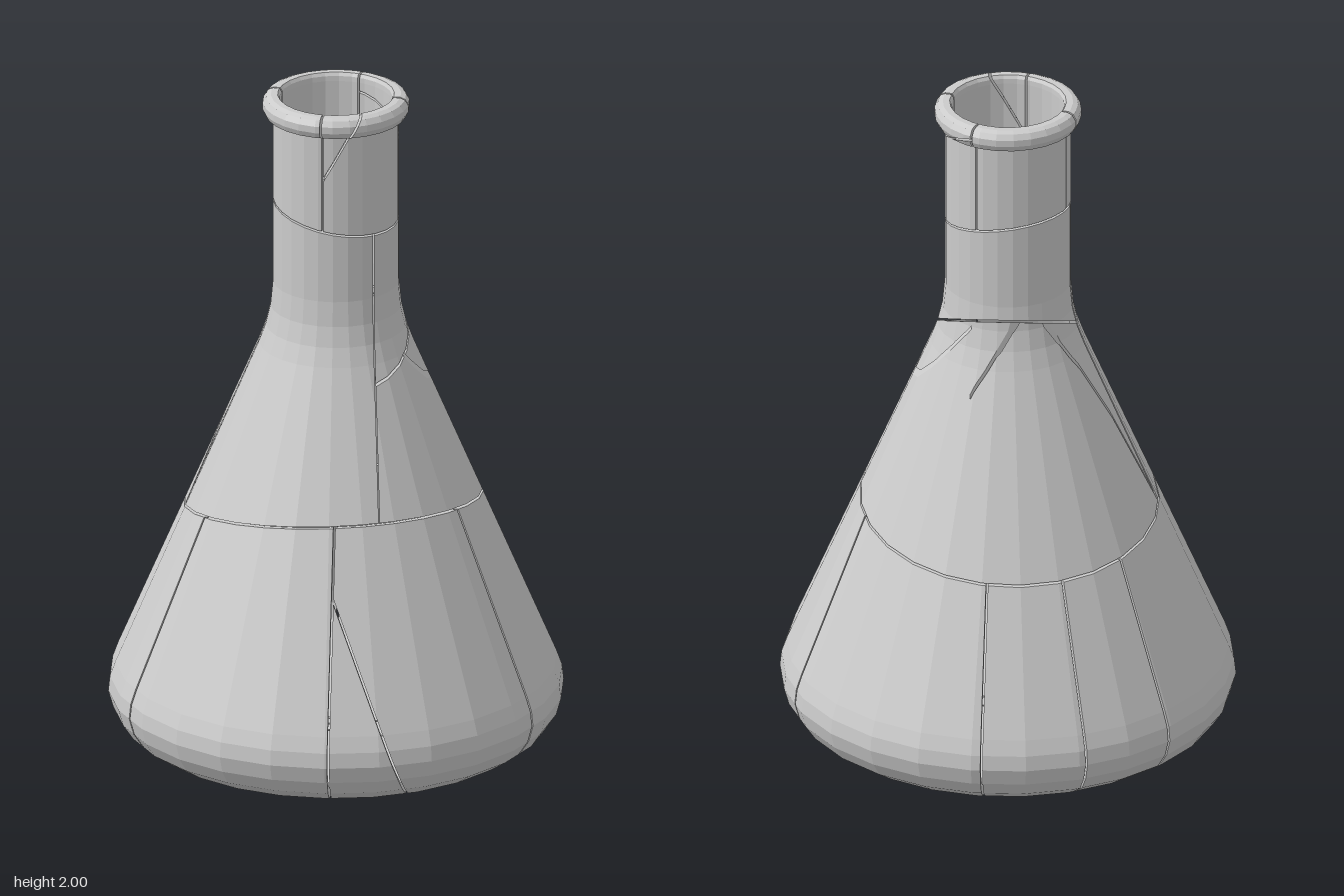
import * as THREE from 'three';

const SIDES = 26, GAP = 0.003;

// Wall profile from the base centre to the lip: [outer r, outer y, inner r, inner y]
const WALL = [
  [0, 0, 0, 0.025], [0.5, 0, 0.49, 0.025], [0.565, 0.018, 0.55, 0.043], [0.62, 0.055, 0.6, 0.075],
  [0.65, 0.1, 0.628, 0.11], [0.664, 0.15, 0.642, 0.15], [0.659, 0.195, 0.637, 0.19],
  [0.643, 0.24, 0.621, 0.233], [0.225, 1.23, 0.203, 1.223], [0.205, 1.285, 0.183, 1.282],
  [0.191, 1.345, 0.17, 1.345], [0.184, 1.42, 0.163, 1.42], [0.184, 1.932, 0.163, 1.932],
  [0.205, 1.94, 0.163, 1.94], [0.214, 1.958, 0.163, 1.955], [0.214, 1.978, 0.163, 1.975],
  [0.204, 1.994, 0.164, 1.99], [0.19, 2, 0.17, 2],
];

// A half-space keeps points with n.p <= d; a zero gap marks an unbroken join
const half = (x, y, z, d, gap = GAP) => {
  const n = new THREE.Vector3(x, y, z), l = n.length();
  return { n: n.divideScalar(l), d: d / l, gap };
};
const flip = (h) => ({ n: h.n.clone().negate(), d: -h.d, gap: h.gap });

// Convex blocks that make up the glass wall; only some faces are visible
function wallBlocks() {
  const blocks = [];
  const at = (r, y, j) => {
    const a = Math.PI / 2 + (j * 2 * Math.PI) / SIDES;
    return new THREE.Vector3(r * Math.sin(a), y, r * Math.cos(a));
  };
  for (let i = 0; i < WALL.length - 1; i++) {
    for (let j = 0; j < SIDES; j++) {
      const o = (a, b) => at(WALL[i + a][0], WALL[i + a][1], j + b);
      const n = (a, b) => at(WALL[i + a][2], WALL[i + a][3], j + b);
      const face = (visible, ...pts) => ({ visible, pts });
      blocks.push([
        face(true, o(0, 0), o(0, 1), o(1, 1), o(1, 0)),
        face(true, n(0, 0), n(1, 0), n(1, 1), n(0, 1)),
        face(i === WALL.length - 2, o(1, 0), o(1, 1), n(1, 1), n(1, 0)),
        face(false, o(0, 0), n(0, 0), n(0, 1), o(0, 1)),
        face(false, o(0, 0), o(1, 0), n(1, 0), n(0, 0)),
        face(false, o(0, 1), n(0, 1), n(1, 1), o(1, 1)),
      ]);
    }
  }
  return blocks;
}

// Cut a convex block by a half-space and close the cut
function clip(block, { n, d, gap }) {
  const side = (p) => n.dot(p) - d + gap;
  const all = block.flatMap((f) => f.pts.map(side));
  if (all.every((s) => s < 1e-7)) return block;
  if (all.every((s) => s > -1e-7)) return [];
  const rim = [], out = [];
  const mark = (p) => { if (!rim.some((q) => q.distanceTo(p) < 1e-6)) rim.push(p); };
  for (const f of block) {
    const pts = [];
    f.pts.forEach((p, k) => {
      const q = f.pts[(k + 1) % f.pts.length], a = side(p), b = side(q);
      if (a <= 0) pts.push(p);
      if (Math.abs(a) < 1e-9) mark(p);
      if (a * b < 0) {
        const m = p.clone().lerp(q, a / (a - b));
        pts.push(m);
        mark(m);
      }
    });
    if (pts.length > 2) out.push({ visible: f.visible, pts });
  }
  if (rim.length > 2) {
    const c = rim.reduce((s, p) => s.add(p), new THREE.Vector3()).divideScalar(rim.length);
    const u = rim[0].clone().sub(c).normalize(), v = n.clone().cross(u);
    const angle = (p) => Math.atan2(p.clone().sub(c).dot(v), p.clone().sub(c).dot(u));
    out.push({ visible: gap > 0, pts: rim.sort((p, q) => angle(p) - angle(q)) });
  }
  return out;
}

// Wedges between neighbouring vertical cracks that run from a centre to each end
function sectors(cx, cz, ends) {
  const cracks = ends.map(([x, z]) => {
    const tx = z - cz, tz = cx - x;
    return half(tx, 0, tz, tx * cx + tz * cz);
  });
  return cracks.map((h, i) => [flip(h), cracks[(i + 1) % cracks.length]]);
}

export function createModel() {
  const group = new THREE.Group();
  group.name = 'crackedFlask';
  const material = new THREE.MeshStandardMaterial({ color: 0xcccccc, flatShading: true });
  const blocks = wallBlocks();

  // Each shard is one or more convex regions of the wall
  function addShard(name, ...regions) {
    const pos = [], tri = new THREE.Triangle();
    for (const region of regions) {
      for (const block of blocks) {
        for (const { visible, pts } of region.reduce(clip, block)) {
          if (!visible) continue;
          for (let k = 1; k < pts.length - 1; k++) {
            tri.set(pts[0], pts[k], pts[k + 1]);
            if (tri.getArea() < 1e-10) continue;
            for (const p of [tri.a, tri.b, tri.c]) pos.push(p.x, p.y, p.z);
          }
        }
      }
    }
    const geometry = new THREE.BufferGeometry();
    geometry.setAttribute('position', new THREE.Float32BufferAttribute(pos, 3));
    geometry.computeVertexNormals();
    const mesh = new THREE.Mesh(geometry, material);
    mesh.name = name;
    group.add(mesh);
  }

  // Ring cracks around the body and the neck
  const belowWaist = half(-0.03, 1, -0.17, 0.735), aboveWaist = flip(belowWaist);
  const belowNeck = half(0.15, 1, 0.12, 1.65), aboveNeck = flip(belowNeck);

  // Base shards, one of them split by a slanted crack at the front
  const baseSlant = half(1, 0.36, 0, 0.175);
  sectors(0.02, 0.03, [[-0.07, 0.66], [0.55, 0.37], [0.54, -0.22], [0.05, -0.66],
    [-0.25, -0.6], [-0.49, -0.45], [-0.62, 0.23]]).forEach((wedge, i) => {
    const region = [belowWaist, ...wedge];
    if (i === 0) {
      addShard('baseSliver', [...region, baseSlant]);
      addShard('baseShard', [...region, flip(baseSlant)]);
    } else addShard('baseShard', region);
  });

  // Body and lower neck shards
  const mid = [aboveWaist, belowNeck];
  const front = half(0, 0, -1, 0.02), back = flip(front);
  const leftJoin = half(-1, 0, 0, -0.1, 0), rightJoin = flip(leftJoin);
  const underShoulder = half(0, 1, 0.49, 1.285), overShoulder = flip(underShoulder);
  const underCollar = half(1.3, 1, 0, 1.471);
  const outerSide = half(0.4, 0, 1, -0.196);
  addShard('frontBodyShard', [...mid, front, half(1, 0, 0, 0.1)]);
  addShard('neckShard', [...mid, overShoulder, leftJoin], [...mid, overShoulder, back, rightJoin]);
  addShard('backBodyShard', [...mid, underShoulder, underCollar, leftJoin],
    [...mid, underShoulder, underCollar, back, outerSide, rightJoin]);
  addShard('shoulderShard', [...mid, underShoulder, flip(underCollar), leftJoin]);
  addShard('sideSliver', [...mid, underShoulder, back, flip(outerSide), rightJoin]);

  // Upper neck and lip shards
  const lipSlant = half(1, -0.55, 0, -1.04);
  const lipChip = half(0, 1, 0.4, 1.89);
  const extra = [lipSlant, lipChip];
  sectors(0, 0, [[-0.05, 0.17], [0.19, 0.045], [0.09, -0.17], [-0.17, -0.06]]).forEach((wedge, i) => {
    const region = [aboveNeck, ...wedge];
    if (extra[i]) {
      addShard('lipShard', [...region, extra[i]]);
      addShard('lipChip', [...region, flip(extra[i])]);
    } else addShard('lipShard', region);
  });

  return group;
}
